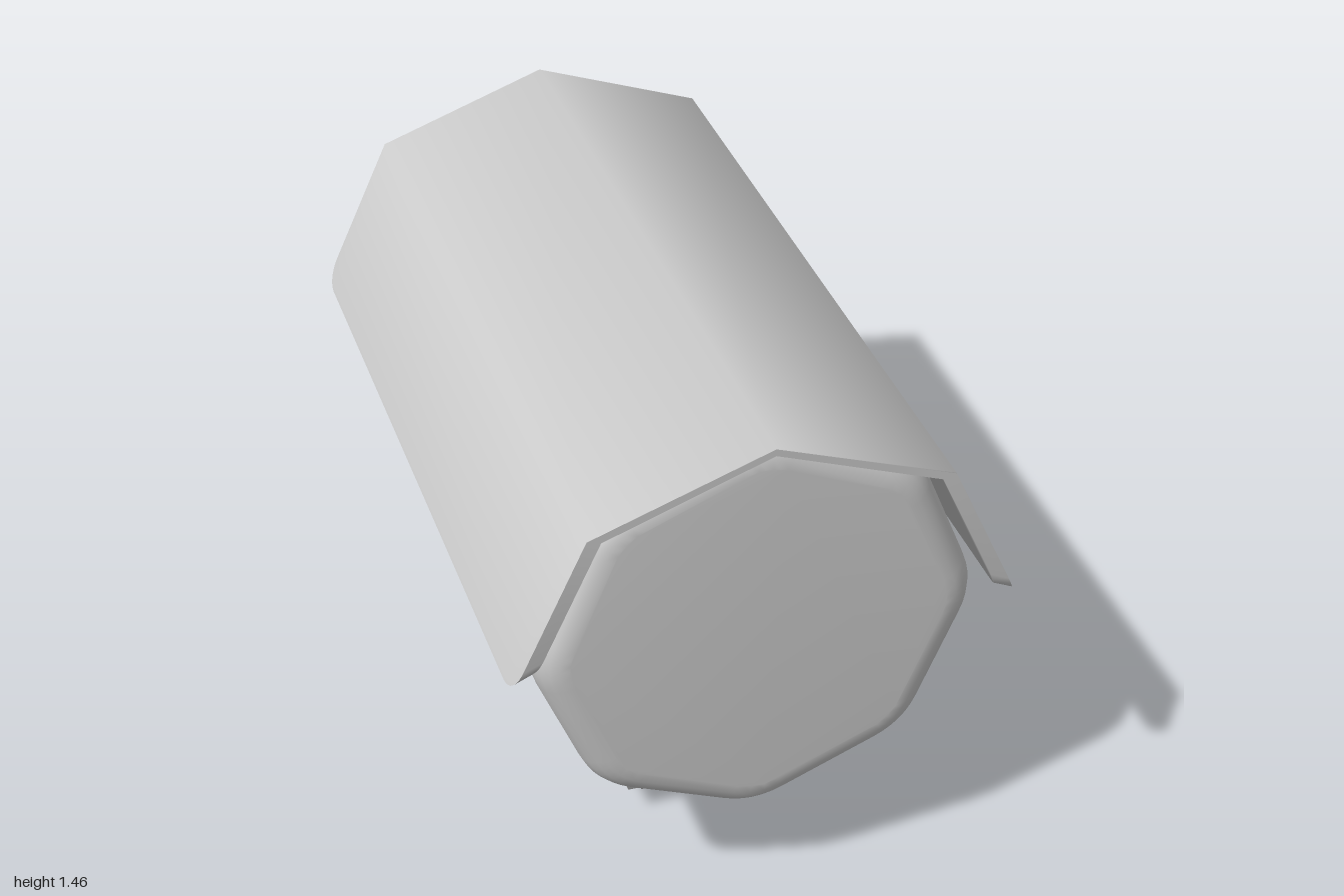
import * as THREE from 'three';
import { mergeVertices, toCreasedNormals } from 'three/addons/utils/BufferGeometryUtils.js';

const grey = new THREE.MeshStandardMaterial({ color: 0xcccccc });

function part(name, geometry) {
  const mesh = new THREE.Mesh(geometry, grey);
  mesh.name = name;
  return mesh;
}

// Octagonal barrel with softened corners and rounded ends
function housingGeometry() {
  const R = 0.585, cy = 0.868, cut = 0.2, bevel = 0.08;
  const corner = (i) => new THREE.Vector2(
    R * Math.cos(i * Math.PI / 4), cy + R * Math.sin(i * Math.PI / 4));
  const shape = new THREE.Shape();
  for (let i = 0; i < 8; i++) {
    const c = corner(i);
    const a = c.clone().lerp(corner(i - 1), cut);
    const b = c.clone().lerp(corner(i + 1), cut);
    if (i === 0) shape.moveTo(a.x, a.y);
    else shape.lineTo(a.x, a.y);
    shape.quadraticCurveTo(c.x, c.y, b.x, b.y);
  }
  shape.closePath();
  const geo = new THREE.ExtrudeGeometry(shape, {
    depth: 1.8 - 2 * bevel, curveSegments: 6,
    bevelThickness: bevel, bevelSize: bevel, bevelOffset: -bevel, bevelSegments: 5,
  });
  geo.translate(0, 0, -0.86 + bevel);
  return toCreasedNormals(geo, 0.6);
}

// Folded sheet hood: one ring swept along z, its lower corners rounded at both ends
function hoodGeometry() {
  const r = 0.07, steps = 5;
  const ring = (lift) => {
    const dx = -0.42 * lift, dy = 0.91 * lift;
    const outer = [[0.65 + dx, 0.877 + dy], [0.46, 1.29], [0, 1.455]];
    const inner = [[0.6 + dx, 0.9 + dy], [0.425, 1.28], [0, 1.436]];
    const mirror = (pts) => pts.slice(0, 2).reverse().map(([x, y]) => [-x, y]);
    return [...outer, ...mirror(outer), ...[...inner, ...mirror(inner)].reverse()];
  };
  const sections = [];
  for (let i = 0; i <= steps; i++) {
    const a = (i / steps) * Math.PI / 2;
    sections.push({ z: -1 + r * (1 - Math.cos(a)), lift: r * (1 - Math.sin(a)) });
  }
  const half = sections.slice().reverse();
  for (const s of half) sections.push({ z: -s.z, lift: s.lift });

  const pos = [], index = [], n = 10, last = (sections.length - 1) * n;
  for (const s of sections) for (const [x, y] of ring(s.lift)) pos.push(x, y, s.z);
  for (let i = 0; i < last; i += n) {
    for (let j = 0; j < n; j++) {
      const a = i + j, b = i + (j + 1) % n;
      index.push(a, b, b + n, a, b + n, a + n);
    }
  }
  // end faces
  const contour = ring(r).map(([x, y]) => new THREE.Vector2(x, y));
  for (const [a, b, c] of THREE.ShapeUtils.triangulateShape(contour, [])) {
    index.push(last + a, last + b, last + c, c, b, a);
  }
  const geo = new THREE.BufferGeometry();
  geo.setAttribute('position', new THREE.Float32BufferAttribute(pos, 3));
  geo.setIndex(index);
  return toCreasedNormals(geo, 0.9);
}

// Smooth-shaded block whose top and bottom rectangles differ: { y, x, back, front }
function taperedBlock(bottom, top) {
  const geo = new THREE.BoxGeometry(2, 2, 2);
  geo.deleteAttribute('normal');
  geo.deleteAttribute('uv');
  const p = geo.attributes.position;
  for (let i = 0; i < p.count; i++) {
    const e = p.getY(i) > 0 ? top : bottom;
    p.setXYZ(i, Math.sign(p.getX(i)) * e.x, e.y, p.getZ(i) > 0 ? e.front : e.back);
  }
  const merged = mergeVertices(geo);
  merged.computeVertexNormals();
  return merged;
}

export function createModel() {
  const group = new THREE.Group();
  group.name = 'securityCamera';
  group.add(part('housing', housingGeometry()));
  group.add(part('hood', hoodGeometry()));
  // bracket runs up into the housing
  group.add(part('mountBracket', taperedBlock(
    { y: 0.09, x: 0.22, back: -0.03, front: 0.54 },
    { y: 0.45, x: 0.22, back: -0.21, front: 0.546 })));
  group.add(part('mountFoot', taperedBlock(
    { y: 0, x: 0.155, back: 0.06, front: 0.45 },
    { y: 0.1, x: 0.19, back: 0.02, front: 0.49 })));
  return group;
}
